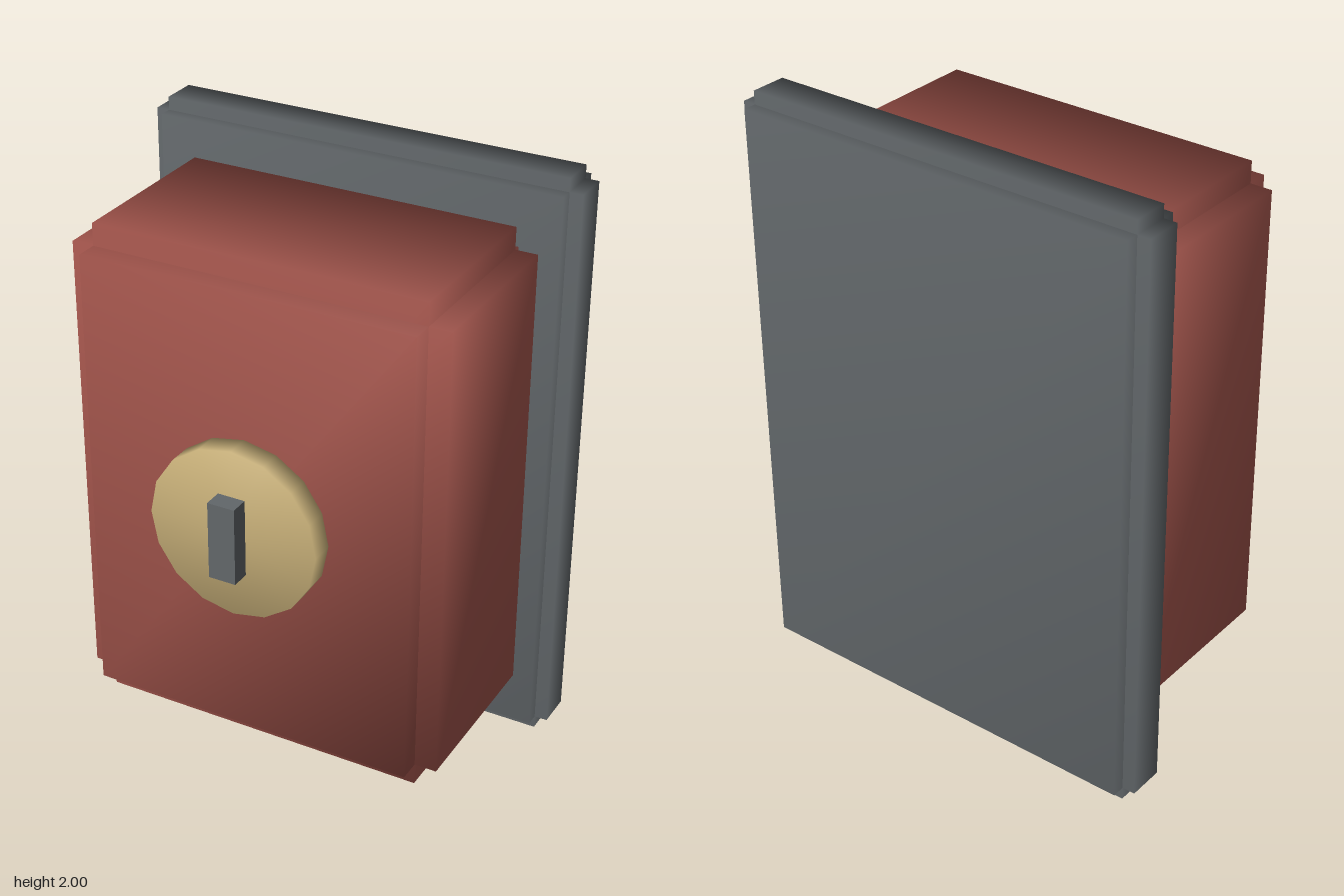
import * as THREE from 'three';
import { mergeVertices } from 'three/addons/utils/BufferGeometryUtils.js';

const red = new THREE.MeshStandardMaterial({ color: 0xa5564d });
red.name = 'brick red';
const grey = new THREE.MeshStandardMaterial({ color: 0x62676a });
grey.name = 'dark grey';
const brass = new THREE.MeshStandardMaterial({ color: 0xc8b079 });
brass.name = 'brass';

// Share corner vertices so the shading runs softly over the edges
function soften(geometry) {
  geometry.deleteAttribute('normal');
  geometry.deleteAttribute('uv');
  const welded = mergeVertices(geometry);
  welded.computeVertexNormals();
  return welded;
}

// Block with stepped edges: three crossing boxes, each reaching full size along one axis
function steppedBlock(name, outer, inner, centre, material) {
  const group = new THREE.Group();
  group.name = name;
  ['Width', 'Height', 'Depth'].forEach((axis, i) => {
    const size = inner.map((v, k) => (k === i ? outer[k] : v));
    const mesh = new THREE.Mesh(soften(new THREE.BoxGeometry(...size)), material);
    mesh.name = name + axis;
    group.add(mesh);
  });
  group.position.set(...centre);
  return group;
}

export function createModel() {
  const model = new THREE.Group();
  model.name = 'wallBox';

  // Mounting plate at the back
  model.add(steppedBlock('backPlate', [1.474, 2, 0.21], [1.386, 1.912, 0.122], [0, 1, -0.413], grey));

  // Main housing, its back sunk into the plate
  model.add(steppedBlock('housing', [1.266, 1.68, 0.734], [1.118, 1.532, 0.586], [0, 1.003, 0.008], red));

  // Round dial
  const dialGeometry = new THREE.CylinderGeometry(0.287, 0.287, 0.084, 16);
  dialGeometry.rotateX(Math.PI / 2);
  const dial = new THREE.Mesh(soften(dialGeometry), brass);
  dial.name = 'dial';
  dial.position.set(0, 1.003, 0.413);
  model.add(dial);

  // Upright grip on the dial
  const grip = new THREE.Mesh(new THREE.BoxGeometry(0.092, 0.262, 0.074), grey);
  grip.name = 'dialGrip';
  grip.position.set(0, 1.003, 0.481);
  model.add(grip);

  return model;
}
